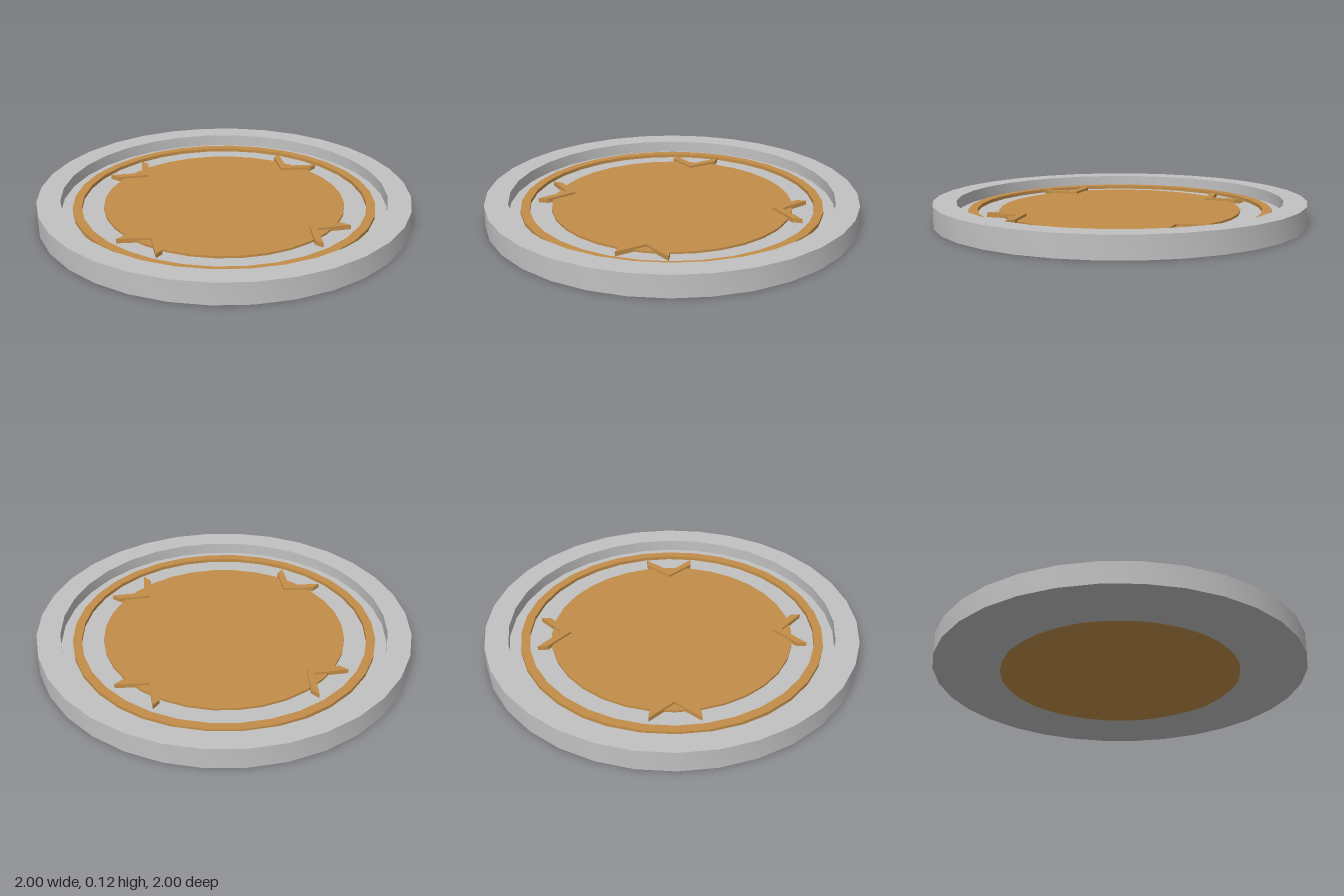
import * as THREE from 'three';
import { toCreasedNormals } from 'three/addons/utils/BufferGeometryUtils.js';

const SEGMENTS = 32;

export function createModel() {
  const model = new THREE.Group();
  model.name = 'roundTray';
  const grey = new THREE.MeshStandardMaterial({ color: 0xc1c1c1 });
  grey.name = 'light grey';
  const ochre = new THREE.MeshStandardMaterial({ color: 0xc38e49 });
  ochre.name = 'ochre';

  const add = (name, geometry, material) => {
    const mesh = new THREE.Mesh(geometry, material);
    mesh.name = name;
    model.add(mesh);
    return mesh;
  };

  // Closed square-edged ring turned about y
  const ring = (sections) => {
    const points = sections.map(([r, y]) => new THREE.Vector2(r, y));
    points.push(points[0].clone());
    return toCreasedNormals(new THREE.LatheGeometry(points, SEGMENTS), 0.5);
  };

  // Dish: outer wall, raised rim and recessed floor
  add('dish', ring([[0.645, 0], [1, 0], [1, 0.117], [0.875, 0.117], [0.875, 0.053], [0.645, 0.053]]), grey);

  // Thin raised ring on the floor
  add('floorRing', ring([[0.765, 0.045], [0.813, 0.045], [0.813, 0.072], [0.765, 0.072]]), ochre);

  // Central disc, through the floor to the underside
  const disc = new THREE.CylinderGeometry(0.648, 0.648, 0.065, SEGMENTS);
  disc.translate(0, 0.0325, 0);
  add('centreDisc', disc, ochre);

  // Four corner chevrons pointing at the centre
  const outline = [[0.386, 0.386], [0.557, 0.377], [0.597, 0.412], [0.424, 0.42],
    [0.412, 0.597], [0.377, 0.557]].map(([x, y]) => new THREE.Vector2(x, y));
  const chevron = new THREE.ExtrudeGeometry(new THREE.Shape(outline), { depth: 0.037, bevelEnabled: false });
  chevron.rotateX(-Math.PI / 2);
  chevron.translate(0, 0.04, 0);
  for (let i = 0; i < 4; i++) {
    add('cornerChevron' + (i + 1), chevron, ochre).rotation.y = i * Math.PI / 2;
  }

  return model;
}
